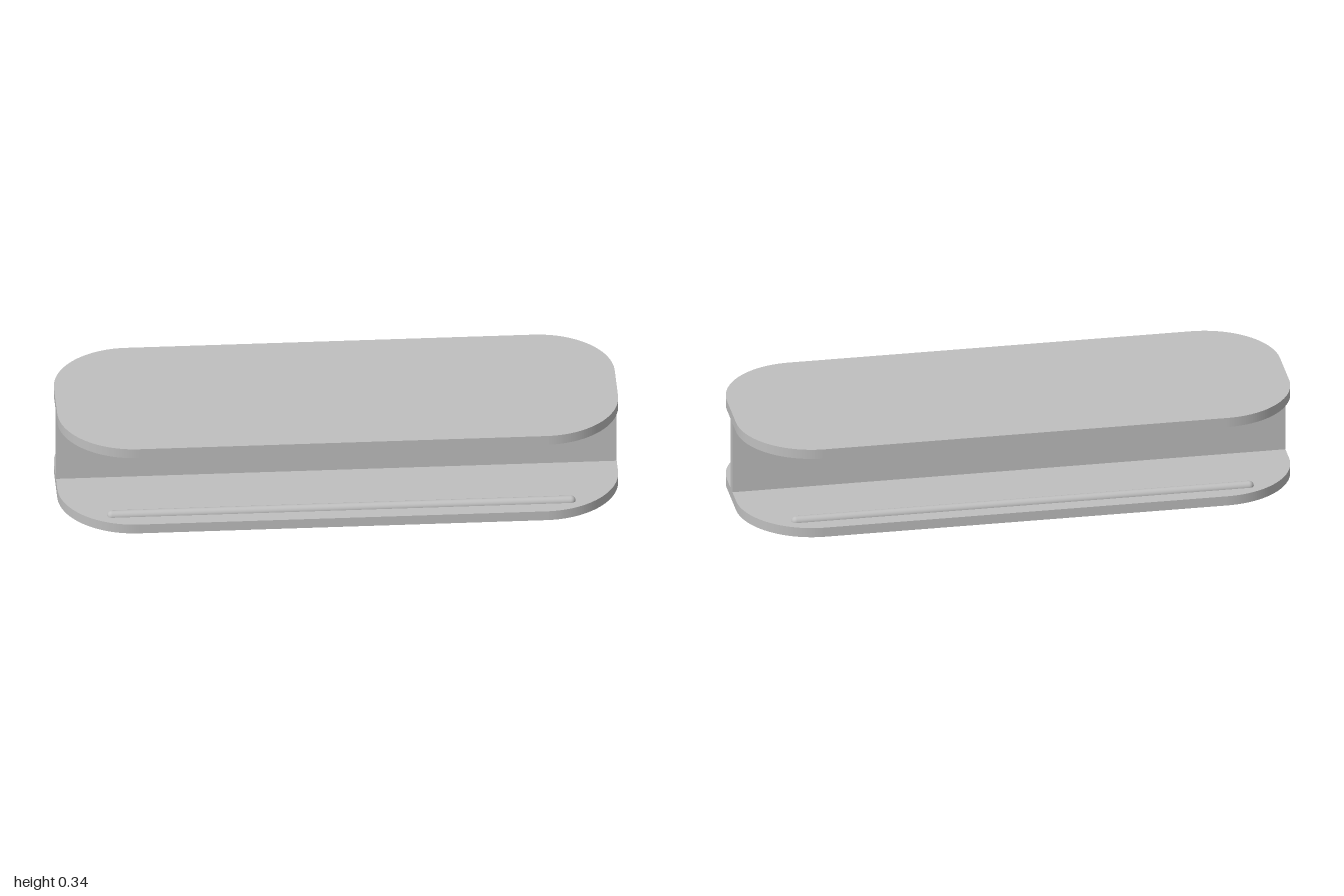
import * as THREE from 'three';

const HALF_X = 1, HALF_Z = 0.3635, CORNER = 0.273;
const HEIGHT = 0.345, PLATE = 0.036, WEB = 0.036, RAIL_R = 0.018;

// Rounded rectangle centred on the origin
function plateShape() {
  const s = new THREE.Shape();
  const x = HALF_X - CORNER, y = HALF_Z - CORNER;
  s.absarc(x, y, CORNER, 0, Math.PI / 2);
  s.absarc(-x, y, CORNER, Math.PI / 2, Math.PI);
  s.absarc(-x, -y, CORNER, Math.PI, Math.PI * 1.5);
  s.absarc(x, -y, CORNER, Math.PI * 1.5, Math.PI * 2);
  s.closePath();
  return s;
}

export function createModel() {
  const model = new THREE.Group();
  model.name = 'doublePlateSpool';
  const grey = new THREE.MeshStandardMaterial({ color: 0xbfbfbf });
  grey.name = 'grey';

  const add = (name, geometry, x, y, z) => {
    const mesh = new THREE.Mesh(geometry, grey);
    mesh.name = name;
    mesh.position.set(x, y, z);
    model.add(mesh);
  };

  // Two identical plates with rounded corners
  const plate = new THREE.ExtrudeGeometry(plateShape(), { depth: PLATE, bevelEnabled: false, curveSegments: 24 });
  plate.rotateX(-Math.PI / 2);
  add('bottomPlate', plate, 0, 0, 0);
  add('topPlate', plate, 0, HEIGHT - PLATE, 0);

  // Upright web joining the plates
  add('web', new THREE.BoxGeometry(HALF_X * 2, HEIGHT - PLATE * 2, WEB), 0, HEIGHT / 2, 0);

  // Round-ended rails half sunk into the inner plate faces
  const rail = new THREE.CapsuleGeometry(RAIL_R, 1.636, 12, 24);
  rail.rotateZ(Math.PI / 2);
  for (const z of [0.291, -0.291]) {
    const side = z > 0 ? 'front' : 'back';
    add(side + 'BottomRail', rail, 0, PLATE, z);
    add(side + 'TopRail', rail, 0, HEIGHT - PLATE, z);
  }
  return model;
}
